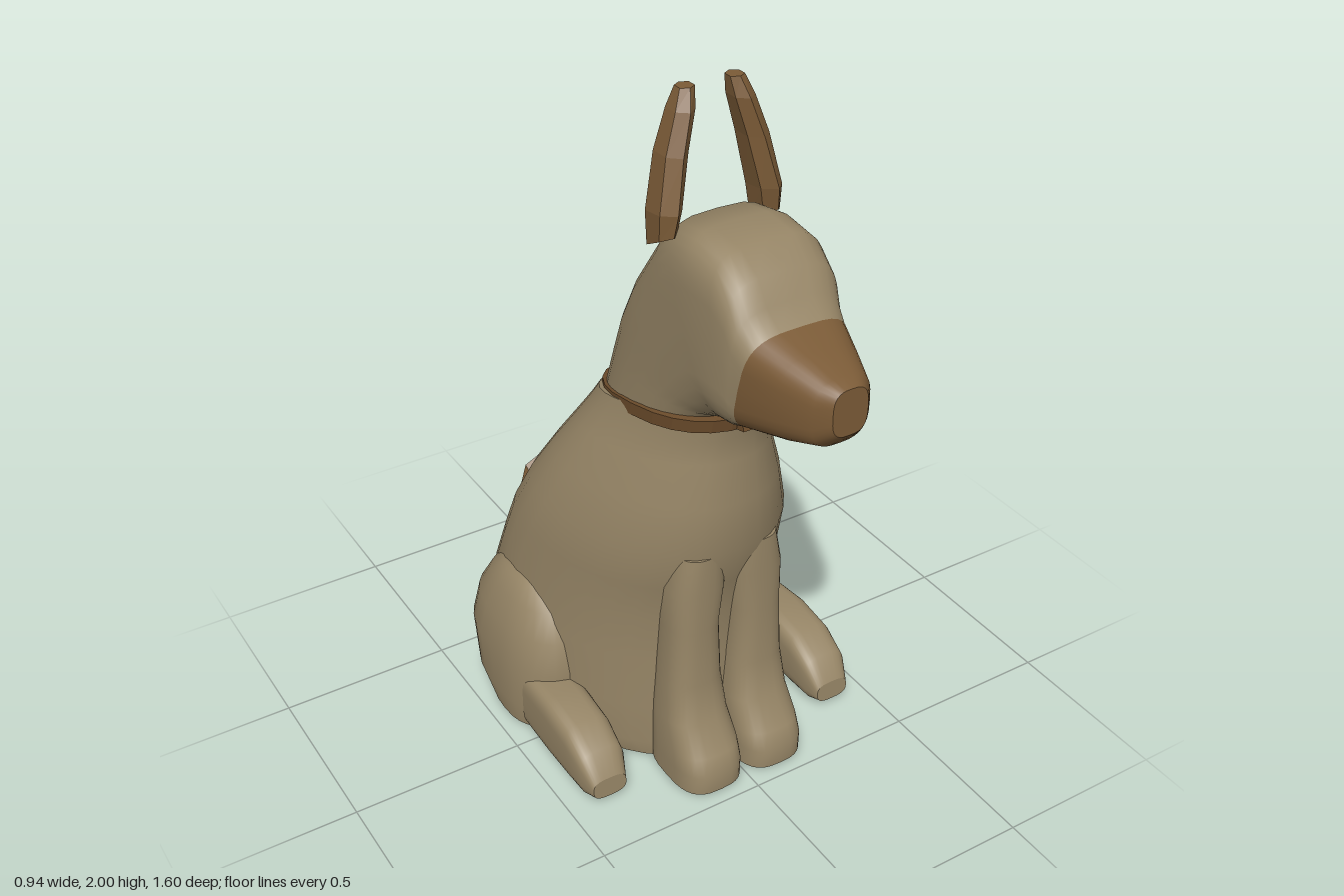
import * as THREE from 'three';

// Skins a stack of rounded rings. Each row: [yFront, zFront, yBack, zBack, halfWidth, roundness, xCentre]
// The ring runs from its front point to its back point; taper narrows it toward the front.
function loft(rows, { seg = 32, taper = 0, flat = false, closed = false } = {}) {
  const pos = [], index = [];
  const bend = (v, n) => Math.sign(v) * Math.pow(Math.abs(v), 2 / n);
  const rings = rows.map(([yf, zf, yb, zb, w, n = 2, x = 0]) => {
    const ring = [];
    for (let j = 0; j < seg; j++) {
      const a = (j / seg) * Math.PI * 2;
      const c = bend(Math.cos(a), n), s = bend(Math.sin(a), n);
      ring.push([
        x + w * s * (1 - taper * c),
        (yf + yb) / 2 + ((yf - yb) / 2) * c,
        (zf + zb) / 2 + ((zf - zb) / 2) * c,
      ]);
    }
    return ring;
  });
  if (closed) rings.push(rings[0]);
  rings.forEach((ring) => ring.forEach((p) => pos.push(...p)));
  for (let i = 0; i < rings.length - 1; i++) {
    for (let j = 0; j < seg; j++) {
      const k = (j + 1) % seg;
      const a = i * seg + j, b = i * seg + k, c = a + seg, d = b + seg;
      index.push(a, b, d, a, d, c);
    }
  }
  // End caps with their own vertices, so their edges stay sharp
  const cap = (ring, up, row) => {
    const base = pos.length / 3;
    ring.forEach((p) => pos.push(...p));
    pos.push(row[6] || 0, (row[0] + row[2]) / 2, (row[1] + row[3]) / 2);
    for (let j = 0; j < seg; j++) {
      const a = base + j, b = base + ((j + 1) % seg);
      if (up) index.push(a, b, base + seg);
      else index.push(b, a, base + seg);
    }
  };
  if (!closed) {
    cap(rings[0], false, rows[0]);
    cap(rings[rings.length - 1], true, rows[rows.length - 1]);
  }
  let geo = new THREE.BufferGeometry();
  geo.setAttribute('position', new THREE.Float32BufferAttribute(pos, 3));
  geo.setIndex(index);
  if (flat) geo = geo.toNonIndexed();
  geo.computeVertexNormals();
  return geo;
}

export function createModel() {
  const model = new THREE.Group();
  model.name = 'sittingDog';
  const material = (name, color) => {
    const m = new THREE.MeshStandardMaterial({ color });
    m.name = name;
    return m;
  };
  const fur = material('sandFur', 0x968566);
  const brown = material('brownFur', 0x7b5b37);
  const leather = material('collarLeather', 0x6d4d2c);

  const add = (name, geo, mat) => {
    const mesh = new THREE.Mesh(geo, mat);
    mesh.name = name;
    model.add(mesh);
  };
  // Adds a left part and its mirrored right twin
  const addPair = (name, rows, mat, opts) => {
    for (const side of [1, -1]) {
      const sided = rows.map((r) => [...r.slice(0, 6), r[6] * side]);
      add((side > 0 ? 'left' : 'right') + name, loft(sided, opts), mat);
    }
  };

  // Torso, from the flat base up to the collar
  add('torso', loft([
    [0.0, 0.3, 0.0, -0.3, 0.32, 2.3],
    [0.05, 0.3, 0.05, -0.45, 0.37, 2.3],
    [0.18, 0.3, 0.18, -0.56, 0.39, 2.3],
    [0.35, 0.3, 0.35, -0.545, 0.38, 2.3],
    [0.5, 0.31, 0.5, -0.49, 0.36, 2.3],
    [0.62, 0.34, 0.62, -0.435, 0.35, 2.3],
    [0.75, 0.38, 0.75, -0.36, 0.325, 2.3],
    [0.9, 0.38, 0.86, -0.285, 0.28, 2.3],
    [1.03, 0.37, 0.96, -0.215, 0.23, 2.3],
    [1.1, 0.37, 1.01, -0.18, 0.2, 2.4],
    [1.19, 0.39, 1.06, -0.145, 0.18, 2.5],
  ], { taper: 0.2 }), fur);

  // Neck and head, turning forward to the start of the muzzle
  add('neckAndHead', loft([
    [1.17, 0.38, 1.04, -0.15, 0.18, 2.5],
    [1.205, 0.41, 1.2, -0.095, 0.175, 2.6],
    [1.215, 0.44, 1.32, -0.045, 0.174, 2.8],
    [1.22, 0.455, 1.45, 0.03, 0.174, 3],
    [1.225, 0.47, 1.62, 0.16, 0.174, 3.3],
    [1.23, 0.485, 1.685, 0.24, 0.174, 3.8],
    [1.235, 0.5, 1.7, 0.34, 0.174, 4],
    [1.237, 0.515, 1.69, 0.45, 0.17, 4],
    [1.238, 0.522, 1.64, 0.52, 0.165, 3.8],
    [1.24, 0.527, 1.575, 0.55, 0.16, 3.6],
    [1.24, 0.53, 1.53, 0.6, 0.15, 3.5],
  ]), fur);

  add('muzzle', loft([
    [1.24, 0.53, 1.53, 0.6, 0.151, 3.5],
    [1.275, 0.68, 1.505, 0.68, 0.117, 3.2],
    [1.3, 0.765, 1.48, 0.765, 0.082, 3],
    [1.34, 0.8, 1.465, 0.8, 0.05, 3],
  ]), brown);

  // Collar: a thin band following the slanted neck
  add('collar', loft([
    [1.165, 0.37, 1.03, -0.14, 0.17, 2.5],
    [1.165, 0.425, 1.035, -0.165, 0.187, 2.5],
    [1.205, 0.435, 1.07, -0.16, 0.187, 2.5],
    [1.205, 0.38, 1.075, -0.12, 0.17, 2.5],
  ], { seg: 24, flat: true, closed: true }), leather);
  const buckle = new THREE.BoxGeometry(0.1, 0.05, 0.035);
  buckle.rotateX(-0.25);
  buckle.translate(0, 1.193, 0.428);
  add('collarBuckle', buckle, leather);

  // Legs
  addPair('FrontLeg', [
    [0.01, 0.465, 0.01, 0.2, 0.1, 3, 0.101],
    [0.07, 0.467, 0.07, 0.2, 0.1, 3, 0.101],
    [0.12, 0.445, 0.12, 0.2, 0.099, 3, 0.1],
    [0.2, 0.39, 0.2, 0.2, 0.094, 2.8, 0.1],
    [0.32, 0.368, 0.32, 0.2, 0.084, 2.6, 0.1],
    [0.5, 0.365, 0.5, 0.2, 0.076, 2.5, 0.1],
    [0.63, 0.367, 0.63, 0.2, 0.085, 2.5, 0.092],
    [0.74, 0.365, 0.74, 0.2, 0.07, 2.5, 0.085],
  ], fur);
  addPair('Haunch', [
    [0.01, 0.0, 0.01, -0.31, 0.16, 2.6, 0.3],
    [0.08, 0.03, 0.08, -0.41, 0.17, 2.6, 0.3],
    [0.22, 0.04, 0.22, -0.45, 0.17, 2.5, 0.3],
    [0.32, 0.02, 0.32, -0.43, 0.15, 2.4, 0.3],
    [0.4, -0.02, 0.4, -0.38, 0.122, 2.3, 0.3],
    [0.45, -0.07, 0.45, -0.33, 0.09, 2.2, 0.3],
    [0.48, -0.13, 0.48, -0.27, 0.05, 2, 0.3],
  ], fur);
  addPair('HindFoot', [
    [0.01, -0.05, 0.2, -0.05, 0.07, 4, 0.38],
    [0.01, 0.1, 0.21, 0.08, 0.075, 4, 0.38],
    [0.01, 0.22, 0.195, 0.2, 0.075, 3.6, 0.38],
    [0.01, 0.29, 0.15, 0.28, 0.07, 3.4, 0.38],
    [0.02, 0.33, 0.08, 0.325, 0.052, 3, 0.38],
  ], fur);

  // Upright cropped ears
  addPair('Ear', [
    [1.66, 0.285, 1.6, 0.17, 0.028, 2, 0.15],
    [1.72, 0.295, 1.7, 0.16, 0.036, 2, 0.144],
    [1.85, 0.27, 1.85, 0.155, 0.036, 2, 0.115],
    [1.95, 0.25, 1.95, 0.16, 0.032, 2, 0.084],
    [2.0, 0.225, 2.0, 0.175, 0.024, 2, 0.07],
  ], brown, { seg: 6, flat: true });

  // Short docked tail, rising toward the tip
  add('tail', loft([
    [0.33, -0.5, 0.19, -0.5, 0.06, 2.2],
    [0.335, -0.6, 0.185, -0.6, 0.06, 2.2],
    [0.35, -0.66, 0.18, -0.69, 0.068, 2.2],
    [0.42, -0.745, 0.215, -0.75, 0.078, 2.2],
    [0.365, -0.8, 0.285, -0.8, 0.035, 2],
  ], { seg: 8, flat: true }), brown);

  return model;
}
